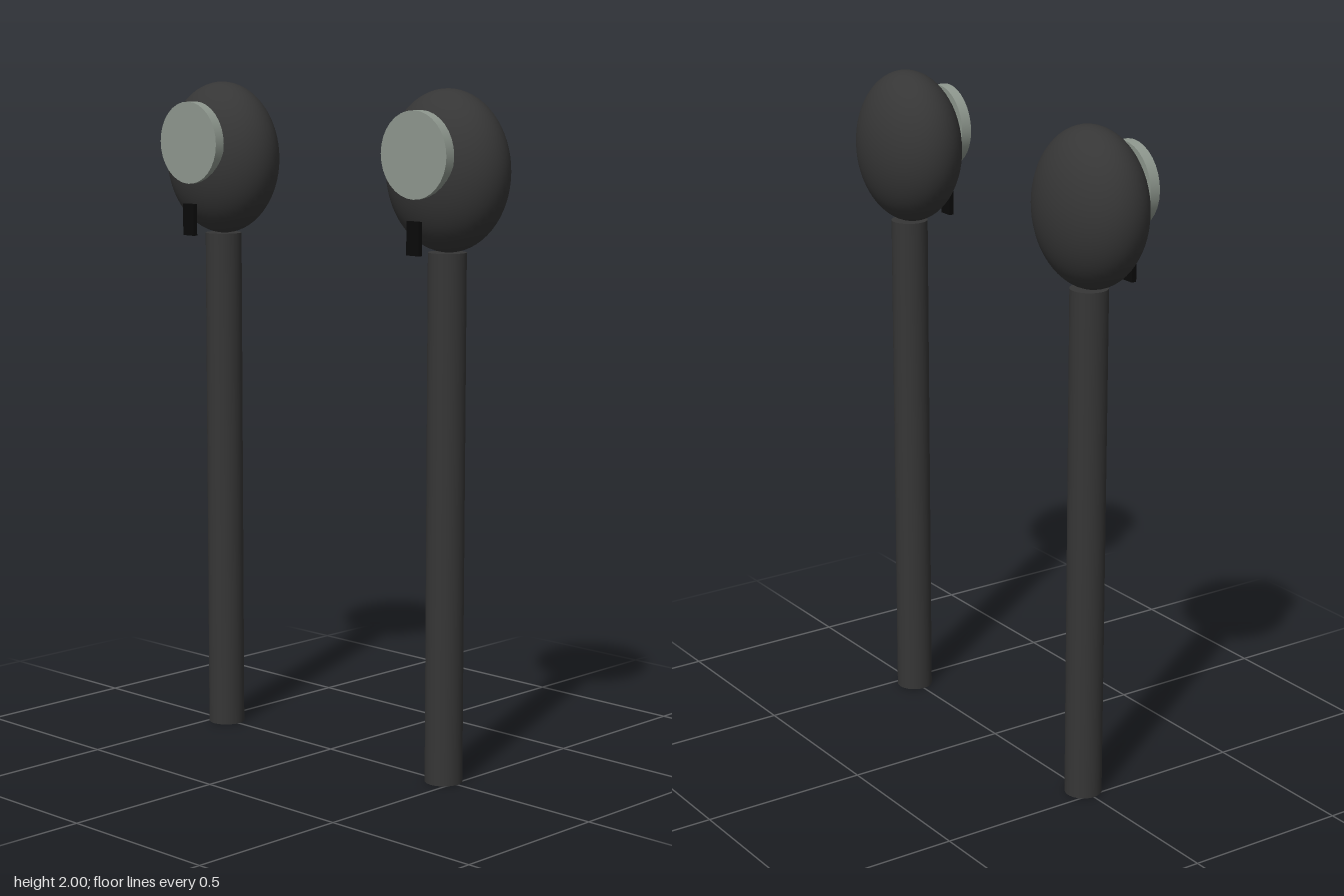
import * as THREE from 'three';

const mat = (name, color) => {
  const m = new THREE.MeshStandardMaterial({ color });
  m.name = name;
  return m;
};

export function createModel() {
  const charcoal = mat('charcoal', 0x363636);
  const paleGrey = mat('paleGrey', 0x8e978e);
  const black = mat('black', 0x0a0a0a);

  const model = new THREE.Group();
  model.name = 'earbudPair';

  const add = (parent, name, geometry, material, x, y, z) => {
    const mesh = new THREE.Mesh(geometry, material);
    mesh.name = name;
    mesh.position.set(x, y, z);
    parent.add(mesh);
  };

  // Shared shapes: egg-like head, long stem, speaker disc and sensor strip
  const headShape = new THREE.SphereGeometry(1, 48, 32).scale(0.199, 0.229, 0.141);
  const stemShape = new THREE.CylinderGeometry(0.055, 0.055, 1.542, 32);
  const discShape = new THREE.CylinderGeometry(0.123, 0.123, 0.032, 32).rotateX(Math.PI / 2);
  const stripShape = new THREE.BoxGeometry(0.046, 0.095, 0.015);

  for (const side of [-1, 1]) {
    const bud = new THREE.Group();
    bud.name = side < 0 ? 'rightEarbud' : 'leftEarbud';
    bud.position.x = side * 0.46;
    add(bud, 'head', headShape, charcoal, 0, 1.771, 0);
    add(bud, 'stem', stemShape, charcoal, 0, 0.771, 0);
    add(bud, 'speakerDisc', discShape, paleGrey, 0, 1.82, 0.128);
    add(bud, 'sensorStrip', stripShape, black, 0, 1.589, 0.138);
    model.add(bud);
  }
  return model;
}
